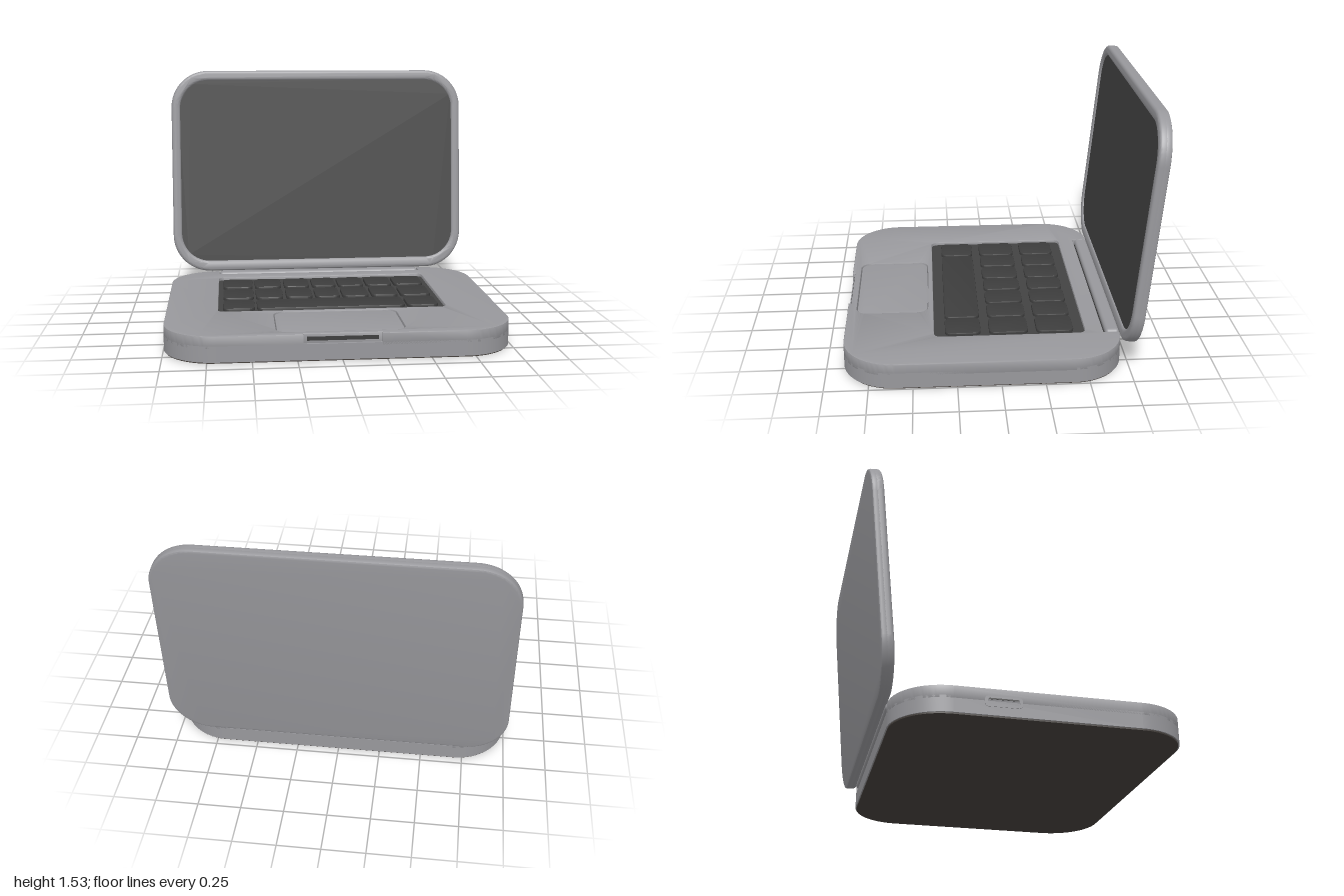
import * as THREE from 'three';
import { toCreasedNormals } from 'three/addons/utils/BufferGeometryUtils.js';
import { RoundedBoxGeometry } from 'three/addons/geometries/RoundedBoxGeometry.js';

const material = (name, color) => Object.assign(new THREE.MeshStandardMaterial({ color }), { name });
const shellGrey = material('shell grey', 0x98989c);
const panelDark = material('panel charcoal', 0x434343);
const keyDark = material('key charcoal', 0x3d3d3d);
const baseBrown = material('underside brown', 0x45403c);

// Rounded rectangle outline, optionally with cut-outs given as [edge, half width, depth]
function outline(x0, y0, x1, y1, r, backCut, frontCut) {
  const s = new THREE.Shape();
  s.moveTo(x0 + r, y0);
  if (backCut) {
    const [w, d] = backCut;
    s.lineTo(-w, y0); s.lineTo(-w, y0 + d); s.lineTo(w, y0 + d); s.lineTo(w, y0);
  }
  s.lineTo(x1 - r, y0);
  s.absarc(x1 - r, y0 + r, r, -Math.PI / 2, 0);
  s.lineTo(x1, y1 - r);
  s.absarc(x1 - r, y1 - r, r, 0, Math.PI / 2);
  if (frontCut) {
    const [w, d] = frontCut;
    s.lineTo(w, y1); s.lineTo(w, y1 - d); s.lineTo(-w, y1 - d); s.lineTo(-w, y1);
  }
  s.lineTo(x0 + r, y1);
  s.absarc(x0 + r, y1 - r, r, Math.PI / 2, Math.PI);
  s.lineTo(x0, y0 + r);
  s.absarc(x0 + r, y0 + r, r, Math.PI, Math.PI * 1.5);
  return s;
}

// Extrusion filling z0..z1 exactly, with an inward bevel
function extrude(shape, z0, z1, bevel = 0, segments = 2, crease = 0.4) {
  const geo = new THREE.ExtrudeGeometry(shape, {
    depth: z1 - z0 - 2 * bevel, curveSegments: 14, bevelEnabled: bevel > 0,
    bevelSize: bevel, bevelThickness: bevel, bevelOffset: -bevel, bevelSegments: segments,
  });
  geo.translate(0, 0, z0 + bevel);
  return toCreasedNormals(geo, crease);
}

// Horizontal slab: outline in x and z, filling y0..y1
const slab = (shape, y0, y1, bevel) => extrude(shape, -y1, -y0, bevel).rotateX(Math.PI / 2);

function add(parent, name, geo, mat) {
  const mesh = new THREE.Mesh(geo, mat);
  mesh.name = name;
  parent.add(mesh);
  return mesh;
}

function createBase() {
  const base = new THREE.Group();
  base.name = 'base';
  add(base, 'underside', slab(outline(-0.99, -0.705, 0.99, 0.89, 0.29), 0, 0.009), baseBrown);
  add(base, 'lowerBody', slab(outline(-0.997, -0.712, 0.997, 0.9, 0.3), 0.008, 0.1), shellGrey);

  // Deck with openings for keyboard and trackpad, hinge recess and finger notch
  const deck = outline(-0.997, -0.712, 0.997, 0.9, 0.3, [0.69, 0.092], [0.22, 0.016]);
  deck.holes.push(outline(-0.69, -0.515, 0.685, 0.375, 0.04), outline(-0.365, 0.405, 0.365, 0.845, 0.07));
  add(base, 'deck', slab(deck, 0.08, 0.156, 0.006), shellGrey);
  add(base, 'trackpad', slab(outline(-0.36, 0.41, 0.36, 0.84, 0.065), 0.09, 0.15, 0.004), shellGrey);
  add(base, 'keyboardWell', slab(outline(-0.695, -0.52, 0.69, 0.38, 0.04), 0.09, 0.136), panelDark);

  // Dark slot inside the finger notch
  const slot = add(base, 'latchSlot', new THREE.BoxGeometry(0.4, 0.022, 0.006), keyDark);
  slot.position.set(0, 0.126, 0.885);

  // Side port: thin frame around a recessed plate
  const frame = outline(-0.1, -0.03, 0.1, 0.03, 0.02);
  frame.holes.push(outline(-0.085, -0.017, 0.085, 0.017, 0.012));
  const port = new THREE.Group();
  port.name = 'sidePort';
  add(port, 'portFrame', extrude(frame, -0.01, 0.003), shellGrey);
  add(port, 'portOpening', new THREE.BoxGeometry(0.16, 0.008, 0.004), panelDark).position.y = 0.014;
  port.rotation.y = -Math.PI / 2;
  port.position.set(-0.997, 0.085, -0.15);
  base.add(port);
  return base;
}

function createKeys() {
  const keys = new THREE.Group();
  keys.name = 'keys';
  const columns = [[-0.66, -0.47], [-0.455, -0.285], [-0.265, -0.1], [-0.082, 0.073], [0.09, 0.257], [0.275, 0.443], [0.46, 0.65]];
  const bottomRow = [columns[0], [-0.455, 0.445], columns[6]];
  const rows = [[-0.45, -0.23, columns], [-0.18, 0.05, columns], [0.1, 0.31, bottomRow]];
  for (const [z0, z1, row] of rows) {
    for (const [x0, x1] of row) {
      add(keys, 'key', slab(outline(x0, z0, x1, z1, 0.035), 0.12, 0.155, 0.006), keyDark);
    }
  }
  return keys;
}

function createHinge() {
  const hinge = new THREE.Group();
  hinge.name = 'hinge';
  add(hinge, 'hingeBar', new RoundedBoxGeometry(1.37, 0.05, 0.085, 4, 0.022), shellGrey).position.set(0, 0.139, -0.675);
  add(hinge, 'hingeGap', new THREE.BoxGeometry(1.37, 0.022, 0.07), keyDark).position.set(0, 0.108, -0.668);
  return hinge;
}

function createLid() {
  const lid = new THREE.Group();
  lid.name = 'lid';
  const H = 1.378;
  add(lid, 'lidBack', extrude(outline(-1, 0, 1, H, 0.25), -0.07, -0.025, 0.012), shellGrey);
  // Rounded frame around the recessed screen
  const frame = outline(-1, 0, 1, H, 0.25);
  frame.holes.push(outline(-0.94, 0.072, 0.94, H - 0.068, 0.19));
  add(lid, 'screenFrame', extrude(frame, -0.06, 0, 0.02, 4, 0.6), shellGrey);
  add(lid, 'screen', extrude(outline(-0.955, 0.055, 0.955, H - 0.053, 0.2), -0.03, -0.012), panelDark);
  lid.position.set(0, 0.16, -0.702);
  lid.rotation.x = -0.098;
  return lid;
}

export function createModel() {
  const model = new THREE.Group();
  model.name = 'laptop';
  model.add(createBase(), createKeys(), createHinge(), createLid());
  return model;
}
